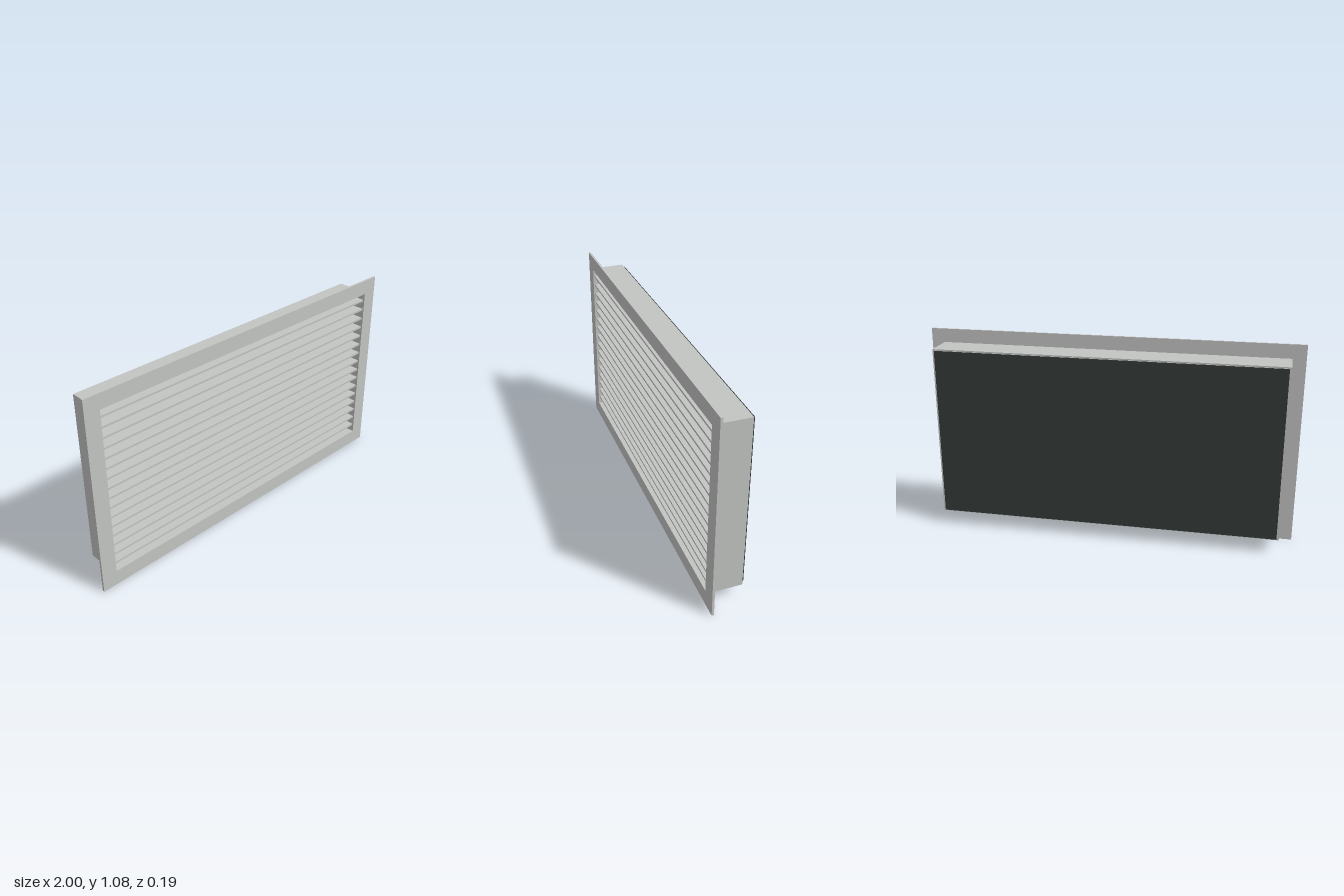
import * as THREE from 'three';

const WIDTH = 2, HEIGHT = 1.08, OPEN_W = 1.834, OPEN_H = 0.917;
const CENTER_Y = HEIGHT / 2;

function rectPath(path, w, h) {
  path.moveTo(-w / 2, -h / 2);
  path.lineTo(w / 2, -h / 2);
  path.lineTo(w / 2, h / 2);
  path.lineTo(-w / 2, h / 2);
  path.closePath();
  return path;
}

// Rectangular ring around the opening, from z0 to z1
function ring(name, w, h, z0, z1, material) {
  const shape = rectPath(new THREE.Shape(), w, h);
  shape.holes.push(rectPath(new THREE.Path(), OPEN_W, OPEN_H));
  const geometry = new THREE.ExtrudeGeometry(shape, { depth: z1 - z0, bevelEnabled: false });
  const mesh = new THREE.Mesh(geometry, material);
  mesh.name = name;
  mesh.position.set(0, CENTER_Y, z0);
  return mesh;
}

function box(name, w, h, d, y, z, material) {
  const mesh = new THREE.Mesh(new THREE.BoxGeometry(w, h, d), material);
  mesh.name = name;
  mesh.position.set(0, y, z);
  return mesh;
}

export function createModel() {
  const metal = new THREE.MeshStandardMaterial({ name: 'light grey metal', color: 0xc3c5c3 });
  const dark = new THREE.MeshStandardMaterial({ name: 'dark backing', color: 0x353b3a });

  const model = new THREE.Group();
  model.name = 'ventGrille';

  // Front flange and the duct collar behind it
  model.add(ring('frontFlange', WIDTH, HEIGHT, 0.085, 0.097, metal));
  model.add(ring('ductCollar', 1.858, 0.932, -0.087, 0.085, metal));

  // Level louvre blades
  const blades = new THREE.Group();
  blades.name = 'louvreBlades';
  for (let i = 0; i < 16; i++) {
    blades.add(box('blade', OPEN_W, 0.011, 0.17, 0.127 + i * 0.0553, 0.004, metal));
  }
  model.add(blades);

  // Backing sheet, set just behind the collar
  model.add(box('backingSheet', OPEN_W, OPEN_H, 0.006, CENTER_Y, -0.094, dark));
  return model;
}
